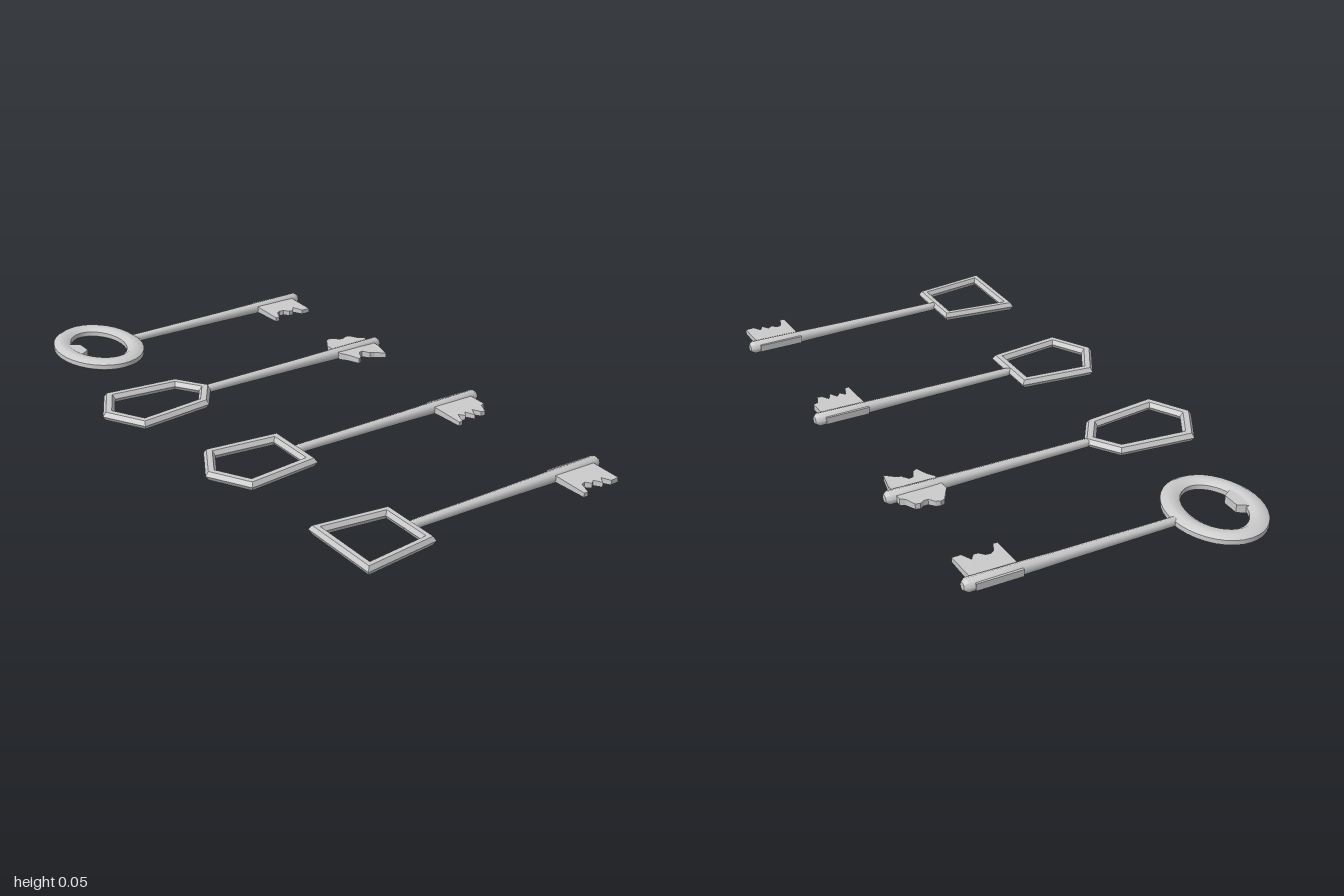
import * as THREE from 'three';
import { toCreasedNormals } from 'three/addons/utils/BufferGeometryUtils.js';

const material = new THREE.MeshStandardMaterial({ color: 0xcccccc, side: THREE.DoubleSide });
const AXIS_Y = 0.023; // height of the shaft axis above the ground

function mesh(name, geometry) {
  const m = new THREE.Mesh(geometry, material);
  m.name = name;
  return m;
}

// Move each side of a closed [x, z] outline inwards by a width, with mitred corners
function inset(outline, width) {
  const n = outline.length;
  const inward = (a, b) => new THREE.Vector2(a[1] - b[1], b[0] - a[0]).normalize();
  return outline.map((p, i) => {
    const before = inward(outline[(i + n - 1) % n], p);
    const after = inward(p, outline[(i + 1) % n]);
    const s = width / (1 + before.dot(after));
    return [p[0] + (before.x + after.x) * s, p[1] + (before.y + after.y) * s];
  });
}

// Closed bar swept around an outline, with a polygonal cross-section
function ring(outer, width, halfHeight, sides, turn, crease) {
  const inner = inset(outer, width);
  const n = outer.length, pos = [], index = [];
  for (let i = 0; i < n; i++) {
    for (let j = 0; j < sides; j++) {
      const t = turn + j * 2 * Math.PI / sides;
      const k = 0.5 + 0.5 * Math.cos(t) / Math.cos(turn);
      pos.push(
        THREE.MathUtils.lerp(inner[i][0], outer[i][0], k),
        halfHeight * Math.sin(t),
        THREE.MathUtils.lerp(inner[i][1], outer[i][1], k));
      const i2 = (i + 1) % n, j2 = (j + 1) % sides;
      const a = i * sides + j, b = i * sides + j2, c = i2 * sides + j, d = i2 * sides + j2;
      index.push(a, b, c, b, d, c);
    }
  }
  const g = new THREE.BufferGeometry();
  g.setAttribute('position', new THREE.Float32BufferAttribute(pos, 3));
  g.setIndex(index);
  return toCreasedNormals(g, crease);
}

// Complete an outline from its +z half, listed right to left
const mirror = half => [...half, ...half.filter(p => p[1] > 0).reverse().map(([x, z]) => [x, -z])];

const ellipse = (cx, rx, rz) => Array.from({ length: 36 }, (_, i) => {
  const a = i * Math.PI / 18;
  return [cx + rx * Math.cos(a), rz * Math.sin(a)];
});

// Flat plate from [x, z] points, thinning away from the shaft axis
function plate(points, thickness, thinning) {
  const shape = new THREE.Shape(points.map(([x, z]) => new THREE.Vector2(x, -z)));
  const g = new THREE.ExtrudeGeometry(shape, { depth: thickness, bevelEnabled: false });
  g.translate(0, 0, -thickness / 2).rotateX(-Math.PI / 2);
  const p = g.attributes.position;
  for (let i = 0; i < p.count; i++) p.setY(i, p.getY(i) * (1 - thinning * Math.abs(p.getZ(i))));
  g.computeVertexNormals();
  return g;
}

// Toothed bit: depths are spaced evenly along the end of the shaft
function bit(front, back) {
  const edge = (depths, sign) => depths.map((d, i) =>
    [THREE.MathUtils.lerp(0.373, 0.527, i / (depths.length - 1)), sign * d]);
  return plate([...edge(front, 1), ...edge(back, -1).reverse()], 0.026, 3);
}

// Eight-sided shaft, swelling slightly towards a blunt pointed tip
function shaft() {
  const profile = [[0, -0.195], [0.012, -0.18], [0.015, -0.15], [0.018, 0.2], [0.021, 0.38],
    [0.023, 0.547], [0.013, 0.56], [0, 0.56]];
  const g = new THREE.LatheGeometry(profile.map(([r, y]) => new THREE.Vector2(r, y)), 8);
  return toCreasedNormals(g.rotateZ(-Math.PI / 2), 0.85);
}

function makeKey(name, z, bow, frontTeeth, backTeeth = [0.025, 0.025]) {
  const key = new THREE.Group();
  key.name = name;
  key.position.set(0, AXIS_Y, z);
  key.add(mesh('bow', bow), mesh('shaft', shaft()), mesh('bit', bit(frontTeeth, backTeeth)));
  return key;
}

// Straight-sided bow with a six-sided bar
const angularBow = (half, width) => ring(mirror(half), width, 0.017, 6, 0, 0.6);

export function createModel() {
  const model = new THREE.Group();
  model.name = 'keySet';

  // Oval bow with a small lug inside it
  const ovalKey = makeKey('ovalKey', -0.807,
    ring(ellipse(-0.293, 0.15, 0.193), 0.06, 0.021, 8, Math.PI / 8, 0.9),
    [0.14, 0.14, 0.105, 0.095, 0.098, 0.116, 0.116, 0.095, 0.132, 0.132, 0.132]);
  const lug = mirror([[-0.352, 0.03], [-0.382, 0.05], [-0.41, 0.06]]);
  ovalKey.add(mesh('bowLug', plate(lug, 0.028, 0)));

  // Six-sided bow, bit toothed on both edges
  const hexagonalKey = makeKey('hexagonalKey', -0.285,
    angularBow([[-0.145, 0], [-0.219, 0.111], [-0.478, 0.14], [-0.557, 0]], 0.038),
    [0.03, 0.055, 0.1, 0.09, 0.058, 0.055, 0.08, 0.085, 0.1, 0.112, 0.042],
    [0.05, 0.074, 0.1, 0.106, 0.1, 0.08, 0.08, 0.09, 0.085, 0.05, 0.04]);

  // Five-sided bow
  const pentagonalKey = makeKey('pentagonalKey', 0.262,
    angularBow([[-0.161, 0.113], [-0.42, 0.142], [-0.499, 0]], 0.036),
    [0.146, 0.144, 0.1, 0.12, 0.1, 0.132, 0.098, 0.125, 0.128, 0.09, 0.085]);

  // Four-sided bow
  const squareKey = makeKey('squareKey', 0.852,
    angularBow([[-0.161, 0.113], [-0.425, 0.146]], 0.031),
    [0.144, 0.144, 0.1, 0.095, 0.112, 0.1, 0.126, 0.1, 0.13, 0.128, 0.127]);

  model.add(ovalKey, hexagonalKey, pentagonalKey, squareKey);
  return model;
}
